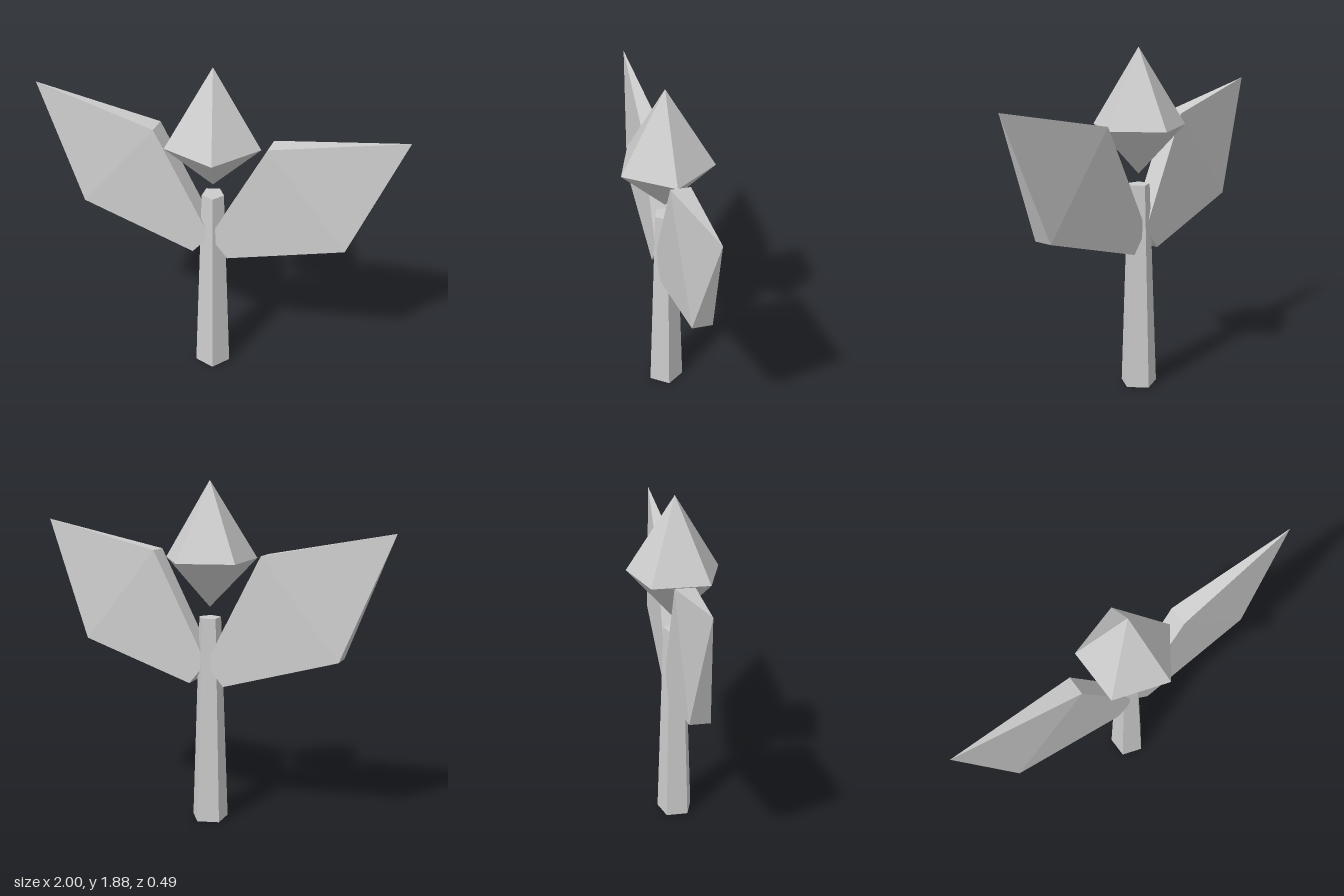
import * as THREE from 'three';

// Five-sided tapered solid with one corner facing +x
function pentagonPart(name, rTop, rBottom, yBottom, yTop, material, open = false) {
  const geo = new THREE.CylinderGeometry(rTop, rBottom, yTop - yBottom, 5, 1, open, Math.PI / 2);
  const mesh = new THREE.Mesh(geo, material);
  mesh.name = name;
  mesh.position.y = (yBottom + yTop) / 2;
  return mesh;
}

// Thick four-cornered slab that narrows to a single pointed tip
function leafGeometry() {
  const outline = [[0, 0.9], [0.1, 0.78], [0.74, 0.977], [0.31, 1.497]];
  const half = 0.052;
  const front = outline.map(([x, y]) => [x, y, half]);
  const back = outline.map(([x, y]) => [x, y, -half]);
  const tip = [1, 1.637, 0];
  const positions = [];
  const tri = (a, b, c) => positions.push(...a, ...b, ...c);
  const quad = (a, b, c, d) => { tri(a, b, c); tri(a, c, d); };

  quad(front[0], front[1], front[2], front[3]);
  quad(back[3], back[2], back[1], back[0]);
  // rims
  for (const [p, q] of [[3, 0], [0, 1], [1, 2]]) quad(front[p], back[p], back[q], front[q]);
  // pointed end
  tri(front[2], tip, front[3]);
  tri(back[3], tip, back[2]);
  tri(front[2], back[2], tip);
  tri(tip, back[3], front[3]);

  const geo = new THREE.BufferGeometry();
  geo.setAttribute('position', new THREE.Float32BufferAttribute(positions, 3));
  geo.computeVertexNormals();
  return geo;
}

export function createModel() {
  const group = new THREE.Group();
  group.name = 'flower';
  const grey = new THREE.MeshStandardMaterial({ color: 0xcccccc, flatShading: true });
  grey.name = 'light grey';

  group.add(pentagonPart('stem', 0.062, 0.103, 0, 1.147, grey));

  // Floating bud: tall upper cone over a short lower cone
  const bud = new THREE.Group();
  bud.name = 'bud';
  bud.add(pentagonPart('budTop', 0, 0.26, 1.46, 1.875, grey, true));
  bud.add(pentagonPart('budBase', 0.26, 0, 1.203, 1.46, grey, true));
  group.add(bud);

  // Pair of leaves, the second turned half a circle
  const leafGeo = leafGeometry();
  ['leftLeaf', 'rightLeaf'].forEach((name, i) => {
    const leaf = new THREE.Mesh(leafGeo, grey);
    leaf.name = name;
    leaf.rotation.y = i * Math.PI;
    group.add(leaf);
  });
  return group;
}
